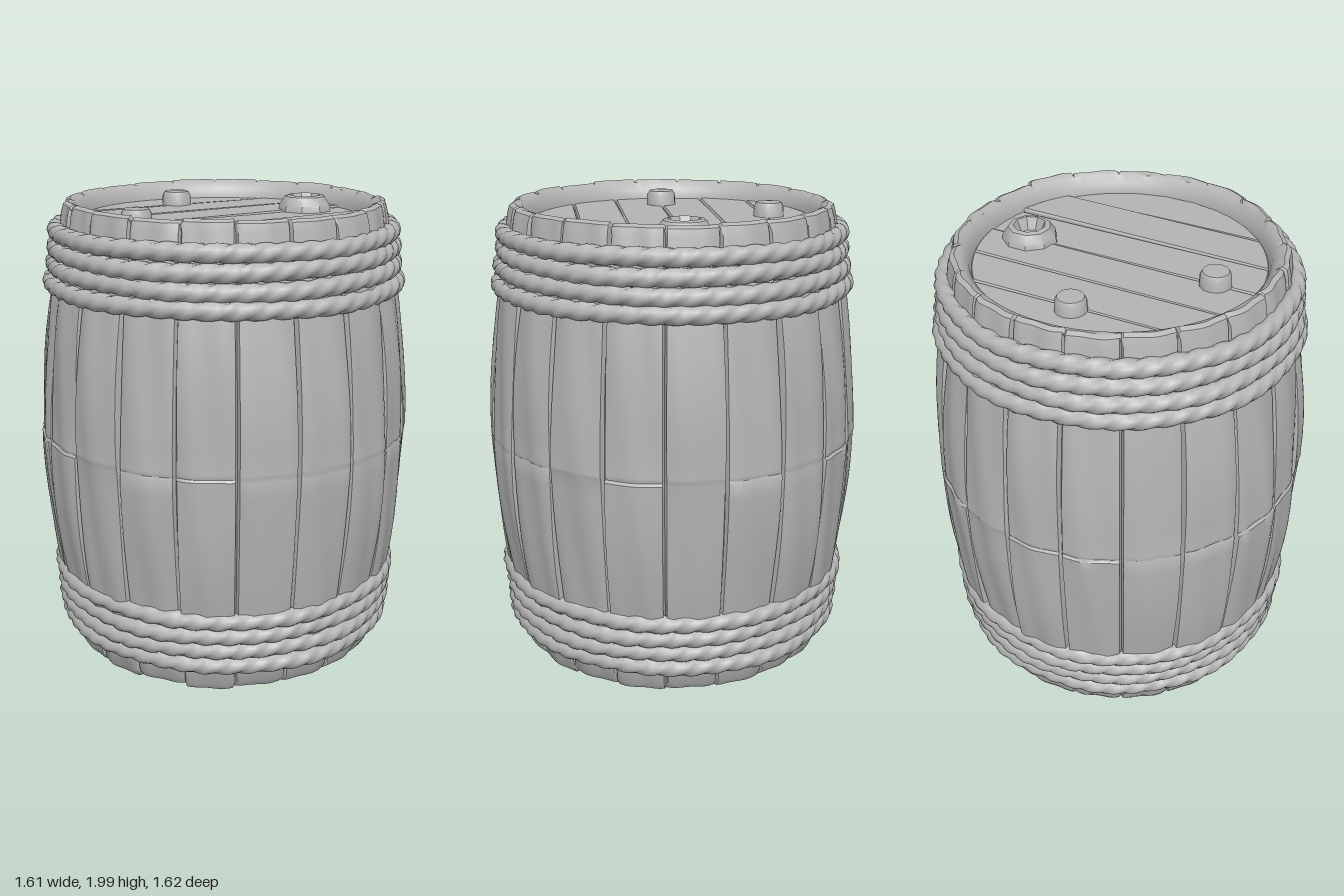
import * as THREE from 'three';
import { mergeVertices, toCreasedNormals } from 'three/addons/utils/BufferGeometryUtils.js';

const STAVES = 20;
const PER_STAVE = 12;
const COLUMNS = STAVES * PER_STAVE;

// Repeatable value in -1..1 for an integer seed
function jitter(n) {
  const s = Math.sin(n * 127.1 + 11.7) * 43758.5453;
  return 2 * (s - Math.floor(s)) - 1;
}

// Weld the seam of a revolved surface and give it fresh normals
function finish(geometry, crease) {
  geometry.deleteAttribute('uv');
  geometry.deleteAttribute('normal');
  const welded = mergeVertices(geometry, 1e-4);
  welded.computeVertexNormals();
  return crease ? toCreasedNormals(welded, crease) : welded;
}

// Barrel wall: a revolved profile, grooved and dented stave by stave
function staveWall() {
  const bottom = [[0, 0.075], [0.605, 0.075], [0.625, 0.04], [0.65, 0.02], [0.672, 0.022], [0.69, 0.05], [0.7, 0.12]];
  const belly = [];
  for (let i = 1; i <= 16; i++) {
    const y = 0.12 + i * 0.1;
    belly.push([0.803 - 0.105 * Math.pow(Math.abs(y - 1) / 0.9, 1.9), y]);
    if (i === 8) belly.push([0.804, 0.99], [0.801, 1.0], [0.804, 1.01]);
  }
  const top = [[0.7, 1.88], [0.69, 1.95], [0.68, 1.985], [0.66, 1.995], [0.635, 1.985],
    [0.612, 1.955], [0.6, 1.91], [0.6, 1.89], [0, 1.89]];
  const profile = [...bottom, ...belly, ...top].map(([r, y]) => new THREE.Vector2(r, y));
  const g = new THREE.LatheGeometry(profile, COLUMNS);
  const p = g.attributes.position;
  const rows = profile.length;
  for (let i = 0; i < p.count; i++) {
    const row = i % rows;
    const { x: r0, y: y0 } = profile[row];
    if (r0 < 0.64) continue;
    const col = Math.floor(i / rows) % COLUMNS;
    const across = (col + PER_STAVE / 2) % PER_STAVE; // 0 on a seam
    const stave = Math.floor((col + PER_STAVE / 2) / PER_STAVE) % STAVES;
    const seam = across === 0;
    // columns crowd towards the seams so that the grooves stay narrow
    const u = seam ? -0.5 : (across / PER_STAVE - 0.5) * 1.12;
    const rim = y0 < 0.06 || y0 > 1.96;
    const side = y0 < 1 ? 0 : 50;
    let r = r0 + 0.005 * jitter(stave + side)
      + 0.004 * Math.sin(y0 * 7 + stave * 2.3) + 0.004 * Math.sin(u * 9 + y0 * 4 + stave)
      - 0.008 * Math.pow(Math.abs(u) * 2, 6);
    if (seam) r = r0 - (rim ? 0.01 : 0.028);
    r = Math.min(r, 0.811);
    let y = y0;
    if (y0 < 0.06) y += seam ? 0.005 : 0.01 * jitter(stave + 7);
    if (y0 > 1.96) y += seam ? -0.008 : 0.005 - 0.009 * Math.abs(jitter(stave + 3));
    // seams lean a little and wander along their height
    const lean = 0.06 * jitter(stave + 90) * (1 - Math.abs(u) * 2);
    const a = ((stave + u + lean) / STAVES) * Math.PI * 2;
    p.setXYZ(i, Math.sin(a) * r, Math.max(y, 0), Math.cos(a) * r);
  }
  return finish(g, 0.7);
}

// Rope coil: a torus whose section is three twisted strands
function ropeCoil(radius, thick, seed) {
  const g = new THREE.TorusGeometry(radius, thick, 12, 220);
  g.rotateX(Math.PI / 2);
  const p = g.attributes.position;
  for (let i = 0; i < p.count; i++) {
    const a = Math.atan2(p.getZ(i), p.getX(i));
    const dr = Math.hypot(p.getX(i), p.getZ(i)) - radius;
    const dy = p.getY(i);
    const v = Math.atan2(dy, dr);
    const strand = Math.abs(Math.sin(1.5 * v + 24 * a + seed));
    const k = 0.86 + 0.24 * strand;
    const r = radius + dr * k + 0.004 * Math.sin(a * 9 + seed);
    p.setXYZ(i, Math.cos(a) * r, dy * k + 0.004 * Math.sin(a * 3 + seed), Math.sin(a) * r);
  }
  return finish(g);
}

// Lid plank: a strip of a disc between two z lines
function lidPlank(z0, z1, radius, depth) {
  const pts = [];
  const steps = 8;
  const half = (z) => Math.sqrt(Math.max(radius * radius - z * z, 0));
  for (const sign of [1, -1]) {
    for (let i = 0; i <= steps; i++) {
      const t = (sign > 0 ? i : steps - i) / steps;
      const z = z0 + (z1 - z0) * t;
      pts.push(new THREE.Vector2(sign * half(z), -z));
    }
  }
  const g = new THREE.ExtrudeGeometry(new THREE.Shape(pts), {
    depth, bevelEnabled: true, bevelThickness: 0.008, bevelSize: 0.006, bevelOffset: -0.006, bevelSegments: 1,
  });
  return g.rotateX(-Math.PI / 2);
}

function lathe(points, sides, crease) {
  return finish(new THREE.LatheGeometry(points.map(([r, y]) => new THREE.Vector2(r, y)), sides), crease);
}

export function createModel() {
  const model = new THREE.Group();
  const grey = new THREE.MeshStandardMaterial({ color: 0xb4b4b4 });
  grey.name = 'plain grey';

  const add = (name, geometry, x = 0, y = 0, z = 0) => {
    const mesh = new THREE.Mesh(geometry, grey);
    mesh.name = name;
    mesh.position.set(x, y, z);
    model.add(mesh);
    return mesh;
  };

  add('staves', staveWall());

  // Four rope coils at each end, widening towards the belly
  for (let i = 0; i < 4; i++) {
    const radius = 0.712 + i * 0.009;
    add('lowerRope', ropeCoil(radius, 0.037, i * 1.7), 0, 0.15 + i * 0.072, 0);
    add('upperRope', ropeCoil(radius, 0.037, i * 2.1 + 1), 0, 1.876 - i * 0.072, 0);
  }

  // Six planks close the top
  for (let i = 0; i < 6; i++) {
    const z = -0.602 + i * 0.2007;
    const plank = add('lidPlank', lidPlank(z + 0.002, z + 0.1987, 0.604, 0.025), 0, 1.884 + 0.004 * jitter(i), 0);
    plank.rotation.z = 0.008 * jitter(i + 20);
  }

  // Two wooden pegs
  const peg = lathe([[0.067, 0], [0.064, 0.06], [0.054, 0.078], [0, 0.082]], 14, 0.7);
  add('peg', peg, -0.42, 1.9, 0);
  add('peg', peg, 0, 1.9, -0.42);

  // Bung hole with a raised, sloping collar
  const collar = lathe([[0.12, 0], [0.113, 0.04], [0.09, 0.075], [0.068, 0.08], [0.045, 0.03], [0, 0.025]], 9, 0.6);
  add('bungCollar', collar, 0.42, 1.9, 0);

  return model;
}
